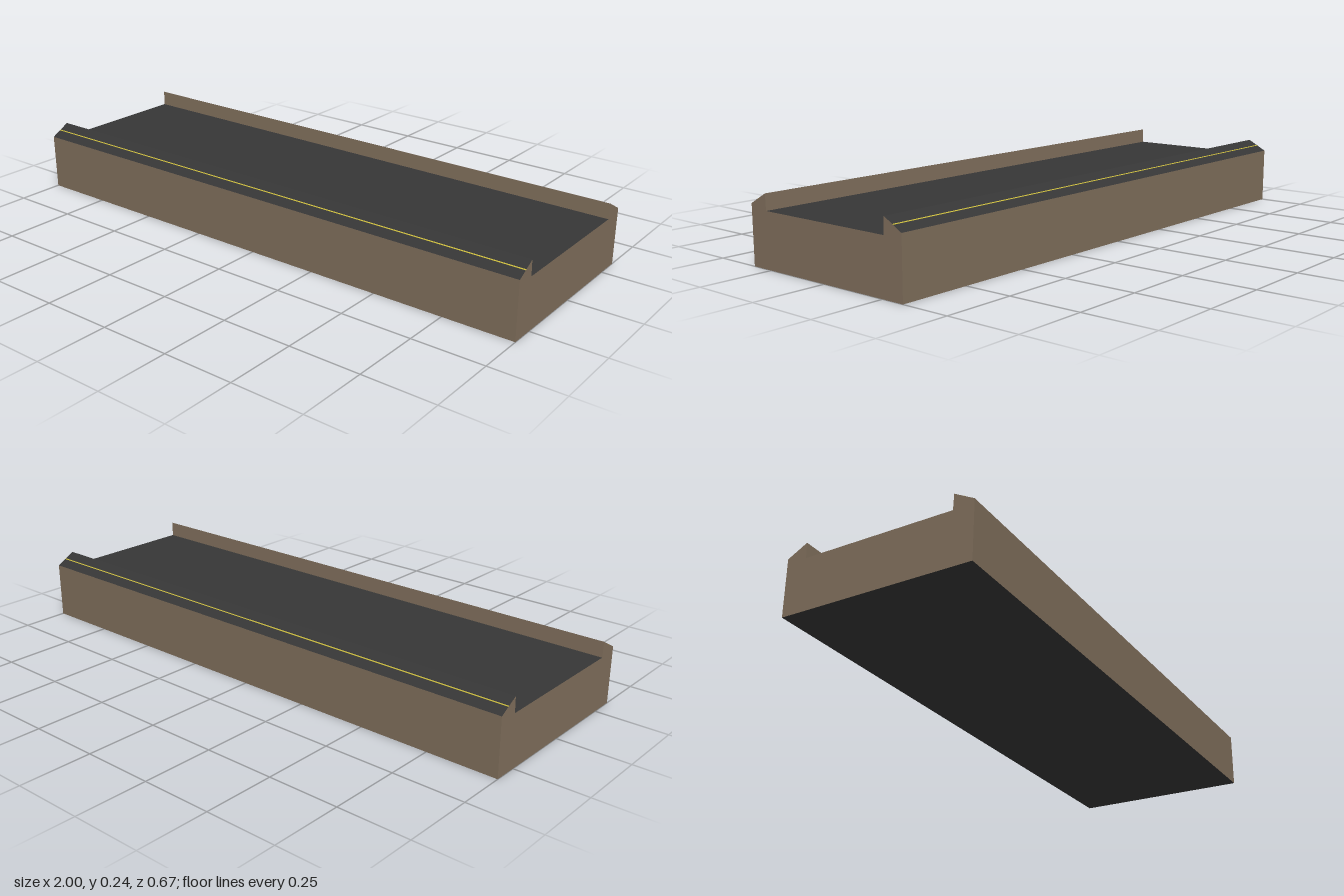
import * as THREE from 'three';

const LENGTH = 2;

export function createModel() {
  const group = new THREE.Group();
  const brown = new THREE.MeshStandardMaterial({ name: 'brownConcrete', color: 0x7f6e5b });
  const dark = new THREE.MeshStandardMaterial({ name: 'darkSurface', color: 0x363636 });
  const yellow = new THREE.MeshStandardMaterial({ name: 'yellowLine', color: 0xc8b93c });

  // Mirrored cross-section: flat deck between two kerbs with sloping tops
  const half = [[0.332, 0], [0.333, 0.2], [0.264, 0.238], [0.262, 0.184]];
  const mirrored = half.map(([z, y]) => [-z, y]).reverse();
  const shape = new THREE.Shape([...half, ...mirrored].map(([z, y]) => new THREE.Vector2(z, y)));
  const geometry = new THREE.ExtrudeGeometry(shape, { depth: LENGTH, bevelEnabled: false });
  geometry.translate(0, 0, -LENGTH / 2).rotateY(Math.PI / 2);

  // Upward and downward faces are dark, walls and ends are brown
  geometry.clearGroups();
  const normals = geometry.attributes.normal;
  for (let i = 0; i < normals.count; i += 3) {
    geometry.addGroup(i, 3, Math.abs(normals.getY(i)) > 0.5 ? 1 : 0);
  }
  const body = new THREE.Mesh(geometry, [brown, dark]);
  body.name = 'platformBody';
  group.add(body);

  // Hairline stripe along the middle of each kerb slope
  const slope = Math.atan2(0.038, 0.069);
  for (const side of [1, -1]) {
    const stripe = new THREE.Mesh(new THREE.BoxGeometry(LENGTH, 0.001, 0.004), yellow);
    stripe.name = side > 0 ? 'frontKerbLine' : 'backKerbLine';
    stripe.position.set(0, 0.2188, side * 0.299);
    stripe.rotation.x = side * slope;
    group.add(stripe);
  }
  return group;
}
